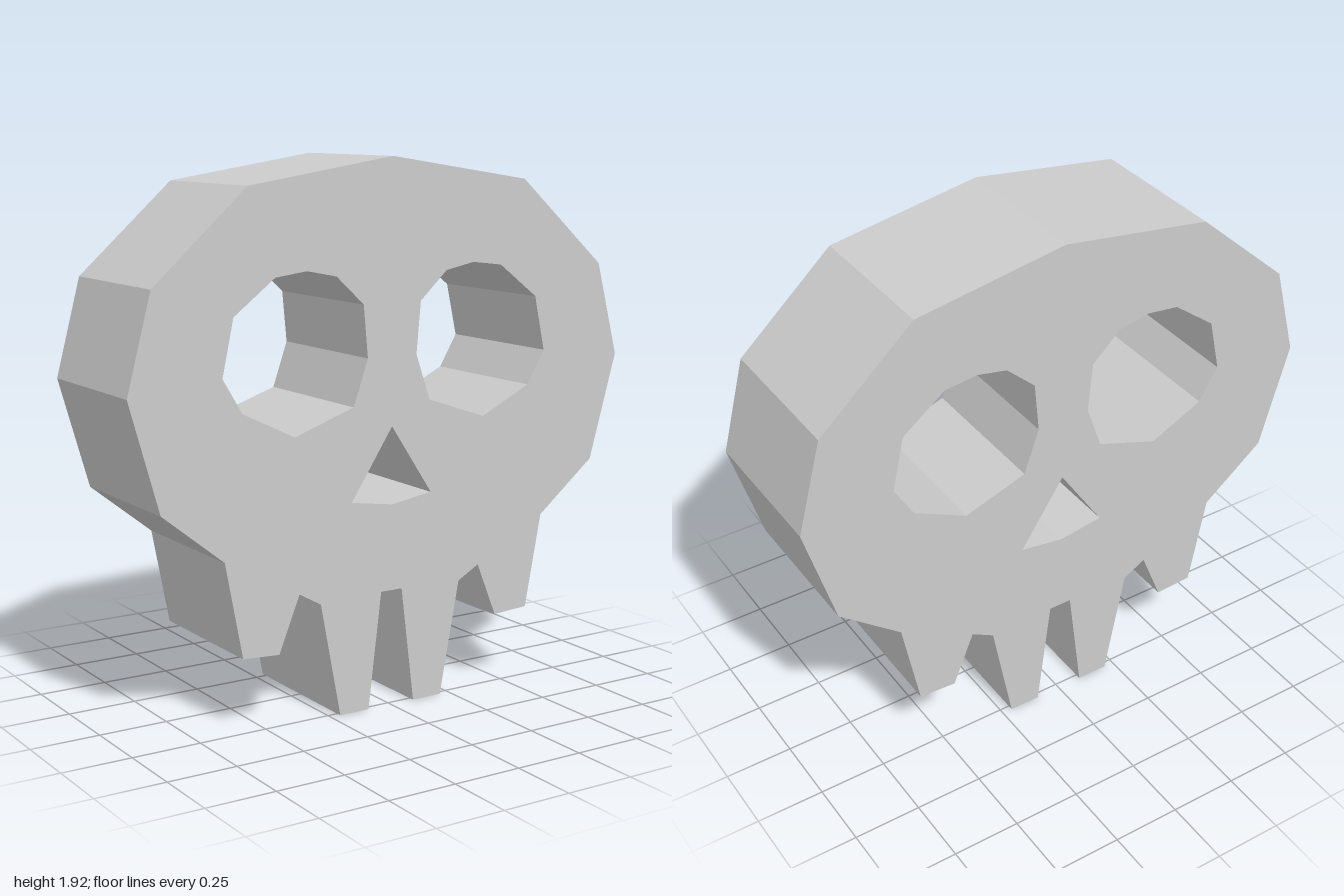
import * as THREE from 'three';

const DEPTH = 0.54;

// Right half of the outline, from the gap between the middle teeth up to the crown
const outline = [
  [0.043, 0.418], [0.095, 0], [0.212, 0],                                            // middle tooth
  [0.29, 0.41], [0.375, 0.458], [0.455, 0.26], [0.595, 0.268],                       // outer tooth
  [0.66, 0.608], [0.89, 0.793], [1, 1.18], [0.91, 1.52], [0.56, 1.833], [0, 1.92],   // cheek and cranium
];

const eye = [
  [0.34, 1.55], [0.46, 1.535], [0.617, 1.415], [0.66, 1.218], [0.588, 1.097],
  [0.39, 1.0], [0.157, 1.08], [0.1, 1.243], [0.117, 1.427], [0.225, 1.527],
];

const nose = [[0, 1], [0.165, 0.75], [0, 0.725], [-0.165, 0.75]];

const toVectors = (points) => points.map(([x, y]) => new THREE.Vector2(x, y));
const mirror = (points) => points.map(([x, y]) => [-x, y]).reverse();

export function createModel() {
  const group = new THREE.Group();
  group.name = 'skull';

  // Counter-clockwise outline; the crown point is shared by both halves
  const shape = new THREE.Shape(toVectors([...outline, ...mirror(outline).slice(1)]));

  // Eye sockets and nose go right through the plate
  for (const hole of [eye, mirror(eye), nose]) {
    shape.holes.push(new THREE.Path(toVectors(hole)));
  }

  const geometry = new THREE.ExtrudeGeometry(shape, { depth: DEPTH, bevelEnabled: false });
  geometry.translate(0, 0, -DEPTH / 2);

  const plate = new THREE.Mesh(
    geometry,
    new THREE.MeshStandardMaterial({ color: 0xcccccc, flatShading: true })
  );
  plate.name = 'skullPlate';
  group.add(plate);
  return group;
}
